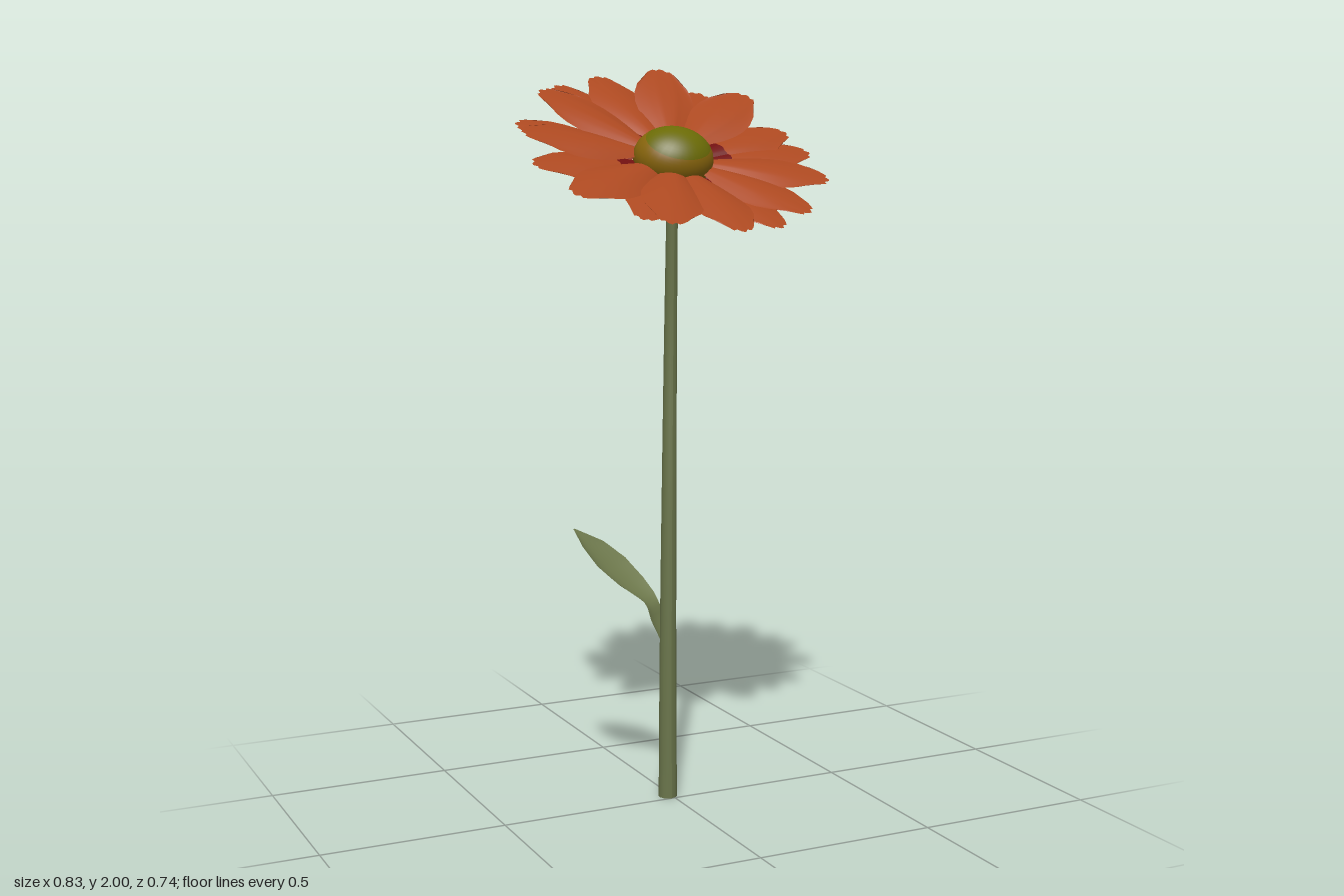
import * as THREE from 'three';

const mat = (name, color, side = THREE.FrontSide) => {
  const m = new THREE.MeshStandardMaterial({ color, side });
  m.name = name;
  return m;
};

// Smooth surface from a grid of points; f(t, u) with t along 0..1 and u across -1..1
function sheet(rows, cols, f) {
  const pos = [], idx = [];
  for (let i = 0; i <= rows; i++)
    for (let j = 0; j <= cols; j++) pos.push(...f(i / rows, (j / cols) * 2 - 1));
  for (let i = 0; i < rows; i++)
    for (let j = 0; j < cols; j++) {
      const a = i * (cols + 1) + j, b = a + cols + 1;
      idx.push(a, a + 1, b, b, a + 1, b + 1);
    }
  const g = new THREE.BufferGeometry();
  g.setAttribute('position', new THREE.Float32BufferAttribute(pos, 3));
  g.setIndex(idx);
  g.computeVertexNormals();
  return g;
}

// Linear lookup in an evenly spaced list
const sample = (list, t) => {
  const k = Math.min(Math.floor(t * (list.length - 1)), list.length - 2);
  return THREE.MathUtils.lerp(list[k], list[k + 1], t * (list.length - 1) - k);
};

// Petal along +x, arched across, with a rounded and slightly notched tip
const petalWidth = [0.014, 0.026, 0.044, 0.062, 0.075, 0.082, 0.081, 0.071, 0.048];
const tipDrop = [0.052, 0.03, 0.017, 0.007, 0.011, 0, 0.002, 0.013, 0.009, 0.026, 0.052];
function petalPoint([, length, rise], base, scale, t, u) {
  const r0 = 0.06;
  const r = r0 + t * (length - sample(tipDrop, (u + 1) / 2) - r0);
  const arch = Math.sin(Math.PI * t);
  const y = base + (rise - base) * t + arch * (0.012 - 0.02 * u * u);
  return [r, y, u * scale * sample(petalWidth, t)];
}

// Angle in degrees, length, height of the tip; the upper layer lies over the lower one
const upperPetals = [
  [285, 0.41, 0.045], [321.5, 0.4, 0.045], [24, 0.415, 0.012], [52, 0.41, 0.004],
  [87.5, 0.418, 0.006], [114, 0.423, 0.012], [148, 0.435, 0.005], [190, 0.415, 0.018],
  [225.5, 0.41, 0.025], [260.5, 0.43, 0.006],
];
const lowerPetals = [
  [302.5, 0.41, 0], [343, 0.405, 0], [357, 0.418, -0.01], [38, 0.34, -0.02], [67, 0.398, -0.015],
  [124, 0.385, -0.015], [173, 0.418, -0.01], [202, 0.425, -0.005], [242, 0.435, -0.005],
];

export function createModel() {
  const stemGreen = mat('stem green', 0x69744a);
  const leafGreen = mat('leaf green', 0x6f7a4d, THREE.DoubleSide);
  const calyxGreen = mat('calyx green', 0x708062);
  const orange = mat('petal orange', 0xab4820, THREE.DoubleSide);
  const darkRed = mat('petal base red', 0x701010);
  const ochre = mat('disc ochre', 0x88650c);
  const olive = mat('disc olive', 0x6a6a06);

  const model = new THREE.Group();
  model.name = 'flower';
  const add = (parent, name, geo, material) => {
    const m = new THREE.Mesh(geo, material);
    m.name = name;
    parent.add(m);
    return m;
  };
  const curve = (pts) => new THREE.CatmullRomCurve3(
    pts.map((p) => new THREE.Vector3(...p)), false, 'catmullrom', 0.5);

  // Stem: tapered cylinder bent along a curve
  const H = 1.72;
  const bend = curve([
    [-0.01, 0, -0.026], [-0.009, 0.43, -0.026], [-0.004, 0.86, -0.029],
    [0.004, 1.29, -0.036], [-0.007, 1.72, 0],
  ]);
  const stem = new THREE.CylinderGeometry(0.015, 0.026, H, 14, 20).translate(0, H / 2, 0);
  const sp = stem.attributes.position;
  for (let i = 0; i < sp.count; i++) {
    const c = bend.getPoint(THREE.MathUtils.clamp(sp.getY(i) / H, 0, 1));
    sp.setXYZ(i, sp.getX(i) + c.x, sp.getY(i), sp.getZ(i) + c.z);
  }
  stem.computeVertexNormals();
  add(model, 'stem', stem, stemGreen);

  // Leaf: cupped blade on a broad stalk
  const spine = curve([
    [-0.022, 0.445, -0.035], [-0.038, 0.5, -0.042], [-0.052, 0.55, -0.05], [-0.1, 0.6, -0.08],
    [-0.145, 0.65, -0.11], [-0.185, 0.7, -0.14], [-0.227, 0.747, -0.167],
  ]);
  const leafWidth = [0.012, 0.028, 0.032, 0.06, 0.069, 0.05, 0.003];
  add(model, 'leaf', sheet(18, 6, (t, u) => {
    const c = spine.getPoint(t), w = sample(leafWidth, t);
    const cup = 0.25 * w * (u * u - 0.5);
    return [c.x + 0.84 * w * u + cup * 0.5, c.y + cup, c.z - 0.54 * w * u + cup * 0.3];
  }), leafGreen);

  // Flower head, tilted towards the front
  const head = new THREE.Group();
  head.name = 'flowerHead';
  head.position.set(0, 1.765, 0);
  head.rotation.x = THREE.MathUtils.degToRad(29);
  model.add(head);

  const turn = (mesh, petal) => { mesh.rotation.y = -THREE.MathUtils.degToRad(petal[0]); };
  upperPetals.forEach((p, i) => {
    const base = -0.012 + (i % 2) * 0.004;
    turn(add(head, 'upperPetal', sheet(16, 20, (t, u) => petalPoint(p, base, 1, t, u)), orange), p);
  });
  lowerPetals.forEach((p, i) => {
    const base = -0.034 + (i % 2) * 0.005;
    turn(add(head, 'lowerPetal', sheet(16, 20, (t, u) => petalPoint(p, base, 0.93, t, u)), orange), p);
    // Dark patch on the upper side of the petal base
    turn(add(head, 'petalBasePatch', sheet(5, 20, (t, u) => {
      const [x, y, z] = petalPoint(p, base, 0.93, t * 0.3125, u);
      return [x, y + 0.003, z];
    }).scale(1, 1, 1), darkRed), p);
  });

  // Domed disc and calyx sit a little flatter than the petals
  const core = new THREE.Group();
  core.name = 'flowerCore';
  core.position.set(0, 1.75, 0.018);
  core.rotation.x = THREE.MathUtils.degToRad(18);
  model.add(core);

  // Ochre dome with an olive cap turned towards the front
  const dome = (from, to) => new THREE.SphereGeometry(1, 28, 10, 0, Math.PI * 2, from, to - from)
    .rotateX(0.32).scale(0.108, 0.082, 0.098);
  add(core, 'discRim', dome(0.95, 1.95), ochre).position.x = -0.014;
  add(core, 'discCap', dome(0, 0.95), olive).position.x = -0.014;

  // Calyx cup under the petals
  const calyx = new THREE.LatheGeometry([
    [0, -0.074], [0.035, -0.07], [0.068, -0.056], [0.09, -0.036], [0.099, -0.018], [0.092, -0.012], [0, -0.01],
  ].map((p) => new THREE.Vector2(...p)), 28);
  add(core, 'calyx', calyx, calyxGreen).position.z = -0.03;

  return model;
}
